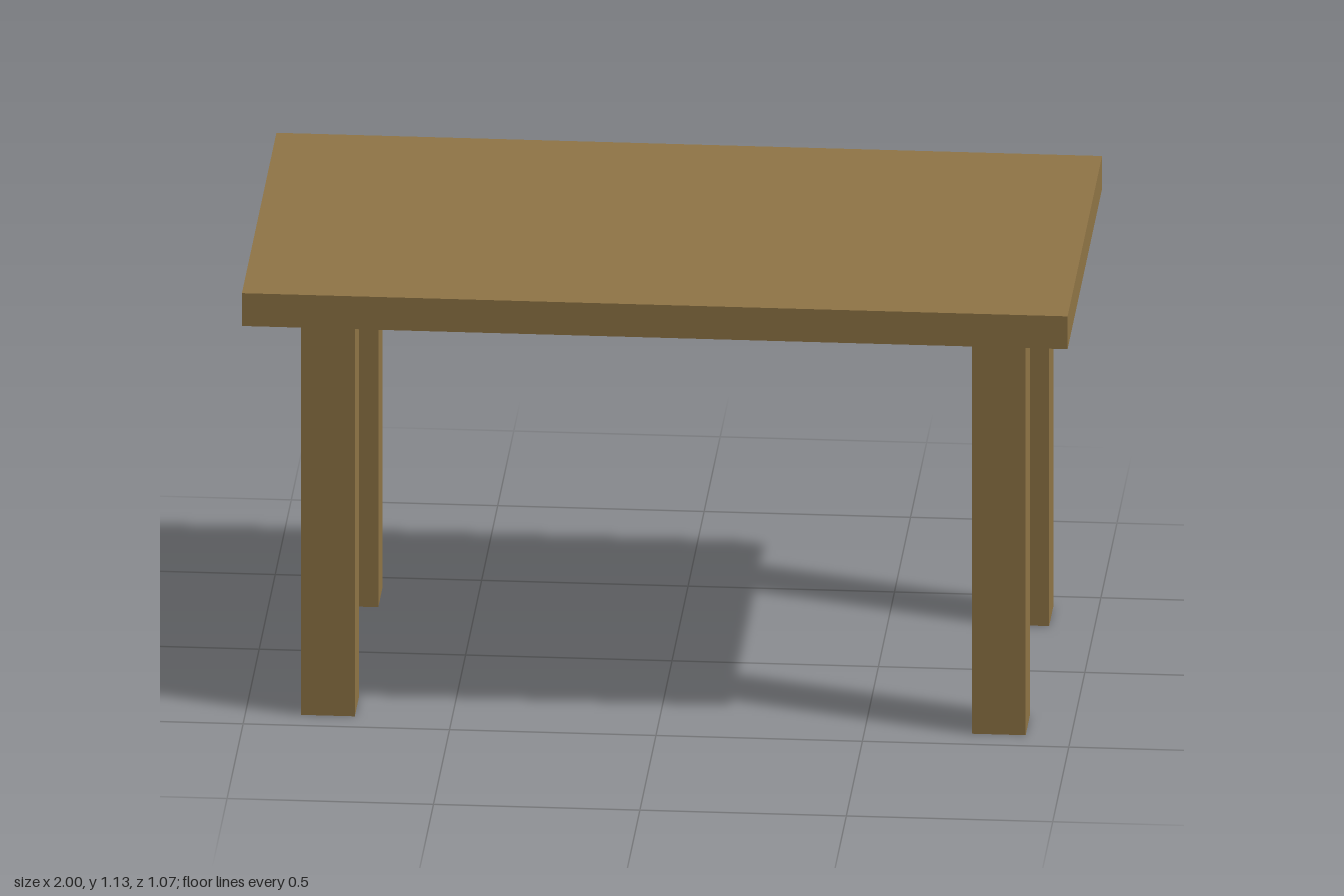
import * as THREE from 'three';

export function createModel() {
  const model = new THREE.Group();
  model.name = 'table';
  const wood = new THREE.MeshStandardMaterial({ color: 0x907546 });

  const addBox = (name, [w, h, d], [x, y, z]) => {
    const mesh = new THREE.Mesh(new THREE.BoxGeometry(w, h, d), wood);
    mesh.name = name;
    mesh.position.set(x, y, z);
    model.add(mesh);
  };

  const legHeight = 1.045, topThickness = 0.085, legWidth = 0.13;

  // Flat slab top
  addBox('tableTop', [2, topThickness, 1.074], [0, legHeight + topThickness / 2, 0]);

  // Four square legs, set slightly towards the left (+x) side
  for (const [side, x] of [['Right', -0.8], ['Left', 0.825]]) {
    for (const [end, z] of [['front', 0.364], ['back', -0.367]]) {
      addBox(`${end}${side}Leg`, [legWidth, legHeight, legWidth], [x, legHeight / 2, z]);
    }
  }
  return model;
}
